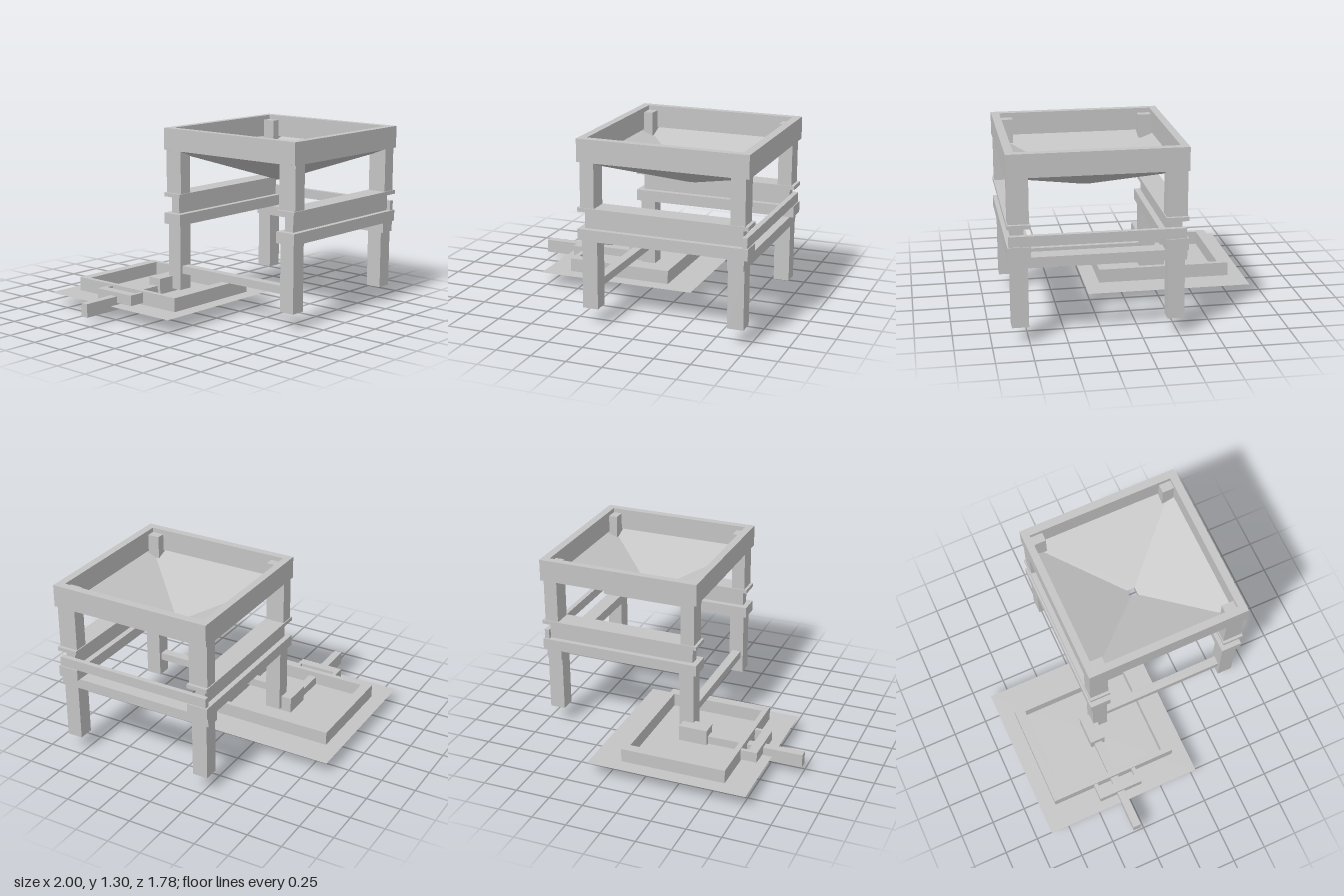
import * as THREE from 'three';

const steel = new THREE.MeshStandardMaterial({ color: 0xc4c4c4, flatShading: true, side: THREE.DoubleSide });
steel.name = 'grey steel';

// Box given by its extents along each axis
function box(parent, name, [x0, x1], [y0, y1], [z0, z1]) {
  const mesh = new THREE.Mesh(new THREE.BoxGeometry(x1 - x0, y1 - y0, z1 - z0), steel);
  mesh.position.set((x0 + x1) / 2, (y0 + y1) / 2, (z0 + z1) / 2);
  mesh.name = name;
  parent.add(mesh);
}

// Rectangle outline seen from above, used for frames and their holes
function rect(target, [x0, x1], [z0, z1]) {
  target.moveTo(x0, -z0).lineTo(x1, -z0).lineTo(x1, -z1).lineTo(x0, -z1).closePath();
  return target;
}

// Rectangular ring extruded upward
function ring(parent, name, outer, inner, [y0, y1]) {
  const shape = rect(new THREE.Shape(), ...outer);
  shape.holes.push(rect(new THREE.Path(), ...inner));
  const geometry = new THREE.ExtrudeGeometry(shape, { depth: y1 - y0, bevelEnabled: false });
  geometry.rotateX(-Math.PI / 2).translate(0, y0, 0);
  const mesh = new THREE.Mesh(geometry, steel);
  mesh.name = name;
  parent.add(mesh);
}

function buildHopper() {
  const g = new THREE.Group();
  g.name = 'hopper';
  ring(g, 'hopperRim', [[-0.195, 0.998], [-0.303, 0.887]], [[-0.14, 0.94], [-0.25, 0.83]], [1.14, 1.298]);
  // Four-sided funnel, open at both ends
  const funnel = new THREE.CylinderGeometry(0.59 * Math.SQRT2, 0.03 * Math.SQRT2, 0.222, 4, 1, true);
  funnel.rotateY(Math.PI / 4).translate(0.4, 1.031, 0.292);
  const mesh = new THREE.Mesh(funnel, steel);
  mesh.name = 'funnel';
  g.add(mesh);
  return g;
}

function buildStand() {
  const g = new THREE.Group();
  g.name = 'stand';
  // Front and back girders with the posts above and legs below
  for (const [end, side] of [['front', 1], ['back', -1]]) {
    const span = (near, far) => [0.292 + side * near, 0.292 + side * far].sort((a, b) => a - b);
    box(g, end + 'TopFlange', [-0.195, 0.998], [0.8, 0.828], span(0.443, 0.595));
    box(g, end + 'Web', [-0.155, 0.955], [0.68, 0.8], span(0.485, 0.557));
    box(g, end + 'BottomFlange', [-0.195, 0.998], [0.6, 0.68], span(0.443, 0.595));
    for (const [x0, x1] of [[-0.175, -0.075], [0.875, 0.975]])
      box(g, end + 'UpperPost', [x0, x1], [0.828, 1.265], span(0.45, 0.588));
    box(g, end + 'RightLeg', [-0.17, -0.06], [0.118, 0.6], span(0.462, 0.575));
    box(g, end + 'LeftLeg', [0.86, 0.972], [0.118, 0.53], span(0.462, 0.575));
  }
  // Side rails
  box(g, 'upperSideRail', [0.955, 0.99], [0.68, 0.75], [-0.29, 0.877]);
  box(g, 'lowerSideRail', [0.86, 0.972], [0.527, 0.6], [-0.297, 0.885]);
  box(g, 'legBrace', [-0.15, -0.085], [0.238, 0.295], [-0.17, 0.755]);
  return g;
}

function buildGate() {
  const g = new THREE.Group();
  g.name = 'gate';
  const sheet = new THREE.Mesh(new THREE.PlaneGeometry(1.165, 1.165), steel);
  sheet.rotation.x = -Math.PI / 2;
  sheet.position.set(-0.197, 0.097, -0.307);
  sheet.name = 'gateSheet';
  g.add(sheet);
  ring(g, 'gateFrame', [[-0.593, 0.173], [-0.78, 0.167]], [[-0.555, 0.135], [-0.707, 0.095]], [0.094, 0.195]);
  // Handle arm with its block and guide bracket
  box(g, 'armBlock', [-0.3, -0.09], [0, 0.212], [-0.36, -0.25]);
  box(g, 'arm', [-1, -0.3], [0.06, 0.157], [-0.333, -0.275]);
  box(g, 'guideBar', [-0.713, -0.645], [0.11, 0.185], [-0.468, -0.138]);
  for (const z of [-0.468, -0.166])
    box(g, 'guideProng', [-0.645, -0.593], [0.11, 0.185], [z, z + 0.028]);
  return g;
}

export function createModel() {
  const model = new THREE.Group();
  model.name = 'hopperStand';
  model.add(buildHopper(), buildStand(), buildGate());
  return model;
}
